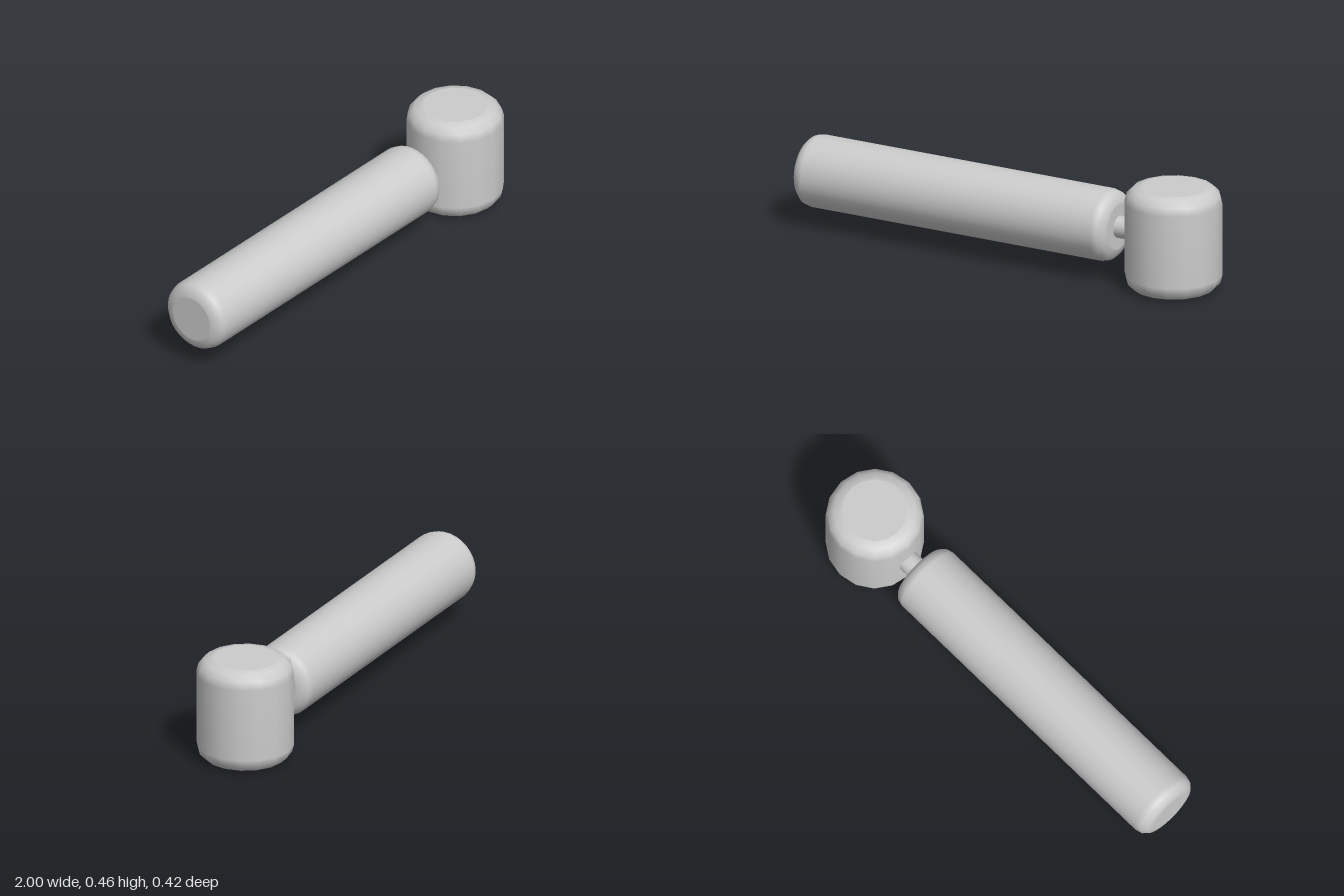
import * as THREE from 'three';

const material = new THREE.MeshStandardMaterial({ color: 0xcccccc });

// Cylinder along y, centred on the origin, with rounded rims and flat caps
function roundedCylinder(radius, height, bevel, sides) {
  const steps = 3;
  const half = height / 2;
  const inner = radius - bevel;
  const profile = [new THREE.Vector2(0, -half), new THREE.Vector2(inner - 0.004, -half)];
  for (const end of [-1, 1]) {
    for (let i = 0; i <= steps; i++) {
      const t = (i / steps) * Math.PI / 2;
      const a = end < 0 ? t - Math.PI / 2 : t;
      profile.push(new THREE.Vector2(
        inner + bevel * Math.cos(a),
        end * (half - bevel) + bevel * Math.sin(a)
      ));
    }
  }
  profile.push(new THREE.Vector2(inner - 0.004, half), new THREE.Vector2(0, half));
  return new THREE.LatheGeometry(profile, sides);
}

function addPart(group, name, geometry, x, y) {
  const mesh = new THREE.Mesh(geometry, material);
  mesh.name = name;
  mesh.position.set(x, y, 0);
  group.add(mesh);
}

export function createModel() {
  const group = new THREE.Group();
  group.name = 'mallet';
  const axisY = 0.232;

  // Upright head
  addPart(group, 'head', roundedCylinder(0.209, 0.457, 0.067, 16), 0.791, 0.2285);

  // Long handle lying along x
  addPart(group, 'handle', roundedCylinder(0.157, 1.524, 0.055, 32).rotateZ(-Math.PI / 2), -0.238, axisY);

  // Thin pin joining handle and head
  addPart(group, 'pin', new THREE.CylinderGeometry(0.048, 0.048, 0.14, 16).rotateZ(-Math.PI / 2), 0.56, axisY);

  return group;
}
